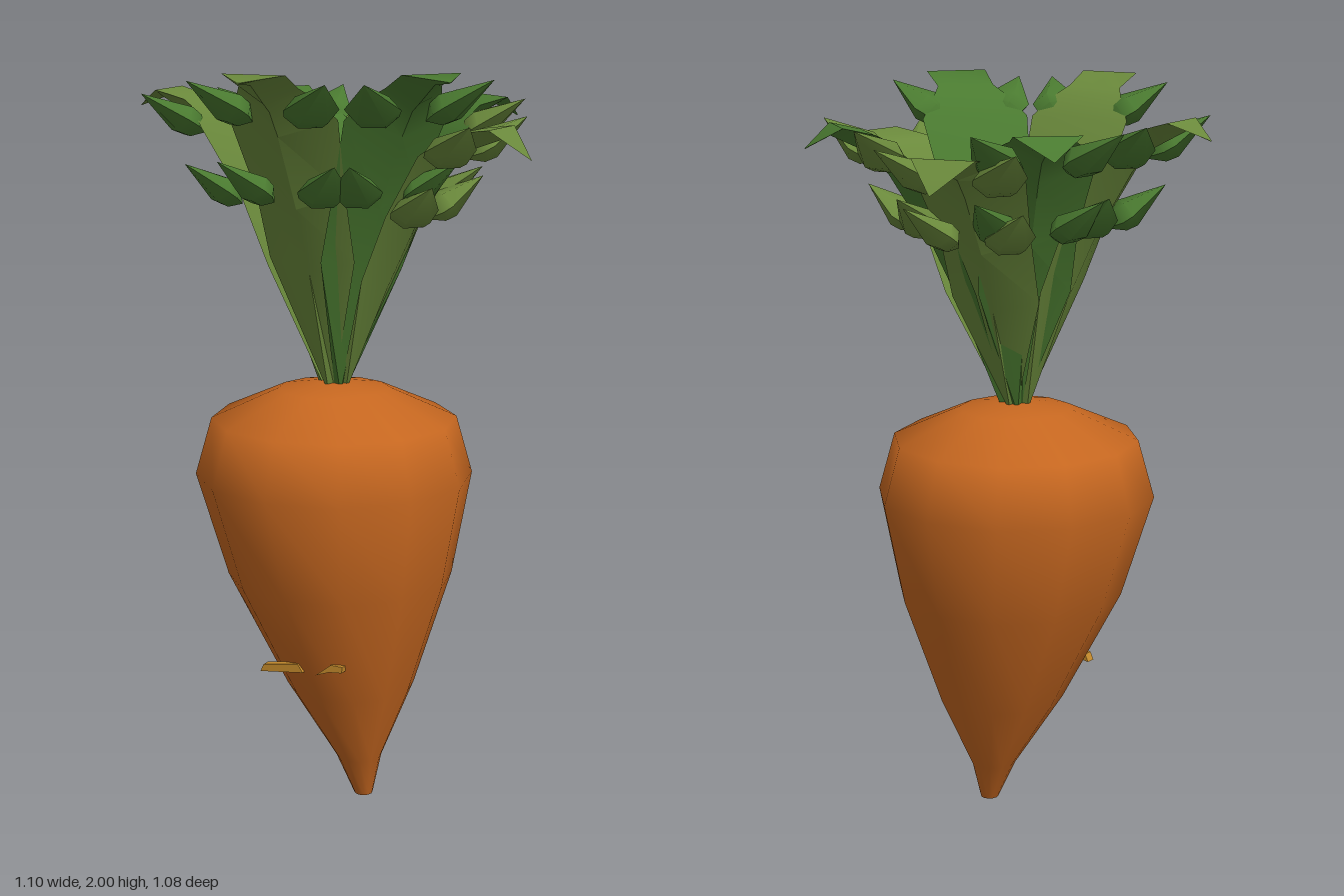
import * as THREE from 'three';
import { mergeVertices, toCreasedNormals } from 'three/addons/utils/BufferGeometryUtils.js';

const mat = (color) => new THREE.MeshStandardMaterial({ color, roughness: 0.9 });
const ORANGE = mat(0xc66720);
const SCAR = mat(0xc48a2c);
const LIGHT = mat(0x6b8a3c);
const DARK = mat(0x4a7a30);

// Sideways lean of the root towards its tip
const lean = (y) => 0.093 * Math.pow(Math.max(0, 1 - y / 0.9), 1.3);

function mesh(name, geometry, material) {
  const m = new THREE.Mesh(geometry, material);
  m.name = name;
  return m;
}

// Tapered body: a 12-sided lathe bent at the lower end
function rootGeometry() {
  const profile = [[0, 0], [0.025, 0], [0.062, 0.11], [0.174, 0.32], [0.305, 0.63],
    [0.374, 0.91], [0.33, 1.065], [0.15, 1.145], [0, 1.17]];
  let g = new THREE.LatheGeometry(profile.map(([r, y]) => new THREE.Vector2(r, y)), 12);
  const p = g.attributes.position;
  for (let i = 0; i < p.count; i++) p.setX(i, p.getX(i) + lean(p.getY(i)));
  g.deleteAttribute('uv');
  g.deleteAttribute('normal');
  g = mergeVertices(g, 1e-4);
  g.computeVertexNormals();
  return g;
}

// Leaf centre line (distance out, height), blended between a drooping and an upright leaf
const OUT = [0.025, 0.14, 0.21, 0.31, 0.36, 0.39, 0.47, 0.55];
const HALF_WIDTH = [0.012, 0.12, 0.125, 0.15, 0.1, 0.08, 0.085, 0.004];
const DEPTH = [0.015, 0.03, 0.04, 0.045, 0.04, 0.04, 0.025, 0.003];
const LOW = [1.15, 1.46, 1.63, 1.79, 1.835, 1.845, 1.855, 1.78];
const HIGH = [1.15, 1.51, 1.69, 1.885, 1.945, 1.965, 2.0, 1.985];
const heights = (lift) => LOW.map((y, i) => THREE.MathUtils.lerp(y, HIGH[i], lift));

// Flat-topped leaf with a keel underneath, growing along +x
function leafGeometry(ys) {
  const pos = [], idx = [];
  OUT.forEach((x, i) => {
    const w = HALF_WIDTH[i];
    pos.push(x, ys[i], -w, x, ys[i], 0, x, ys[i], w, x + DEPTH[i] * 0.6, ys[i] - DEPTH[i], 0);
    if (i === 0) return;
    for (let j = 0; j < 4; j++) {
      const a = (i - 1) * 4 + j, b = (i - 1) * 4 + (j + 1) % 4;
      idx.push(a, b, a + 4, b, b + 4, a + 4);
    }
  });
  const n = (OUT.length - 1) * 4;
  idx.push(0, 2, 1, 0, 3, 2, n, n + 1, n + 2, n, n + 2, n + 3);
  const g = new THREE.BufferGeometry();
  g.setAttribute('position', new THREE.Float32BufferAttribute(pos, 3));
  g.setIndex(idx);
  return toCreasedNormals(g, 0.6);
}

// Pointed leaflet: a flattened six-sided teardrop of unit length
const leafletGeometry = toCreasedNormals(new THREE.LatheGeometry(
  [[0, 0], [0.3, 0.2], [0.35, 0.36], [0, 1]].map(([r, y]) => new THREE.Vector2(r, y)), 6)
  .rotateY(Math.PI / 6).scale(1, 1, 0.6), 0.9);

function leaflet(name, from, to, material) {
  const a = new THREE.Vector3(...from), along = new THREE.Vector3(...to).sub(a);
  const m = mesh(name, leafletGeometry, material);
  m.position.copy(a);
  m.scale.setScalar(along.length());
  along.normalize();
  const side = along.clone().cross(new THREE.Vector3(0, 1, 0)).normalize();
  m.quaternion.setFromRotationMatrix(
    new THREE.Matrix4().makeBasis(side, along, side.clone().cross(along)));
  return m;
}

function makeLeaf(angle, lift, leafMat, leafletMat) {
  const g = new THREE.Group();
  g.name = 'leaf';
  const ys = heights(lift);
  g.add(mesh('leafBlade', leafGeometry(ys), leafMat));
  for (const s of [-1, 1]) {
    const top = ys[4], mid = ys[2];
    g.add(leaflet('upperLeaflet', [0.335, top - 0.07, s * 0.07], [0.465, top + 0.035, s * 0.185], leafletMat));
    g.add(leaflet('lowerLeaflet', [0.235, mid - 0.025, s * 0.06], [0.355, mid + 0.085, s * 0.16], leafletMat));
  }
  g.rotation.y = -THREE.MathUtils.degToRad(angle);
  return g;
}

// Flat sliver standing against the front of the root
function scarGeometry(outline) {
  const shape = new THREE.Shape(outline.map(([x, y]) => new THREE.Vector2(x, y)));
  return new THREE.ExtrudeGeometry(shape, { depth: 0.026, bevelEnabled: false }).translate(0, 0, 0.19);
}

export function createModel() {
  const model = new THREE.Group();
  model.name = 'carrot';
  model.add(mesh('root', rootGeometry(), ORANGE));
  model.add(mesh('longScar', scarGeometry(
    [[-0.11, 0.391], [0.02, 0.408], [0.005, 0.43], [-0.1, 0.412]]), SCAR));
  model.add(mesh('shortScar', scarGeometry(
    [[0.06, 0.408], [0.1, 0.423], [0.138, 0.427], [0.14, 0.444], [0.105, 0.444]]), SCAR));

  // Crown of leaves: [angle from +x towards +z, lift, blade, leaflets]
  const crown = new THREE.Group();
  crown.name = 'leafCrown';
  for (const leaf of [
    [-1, 0, LIGHT, LIGHT],
    [32, 1, DARK, DARK],
    [86, 1, LIGHT, DARK],
    [172, 0.5, LIGHT, DARK],
    [223, 0.4, DARK, DARK],
    [254, 0, LIGHT, LIGHT],
    [306, 0.35, DARK, LIGHT],
  ]) crown.add(makeLeaf(...leaf));
  model.add(crown);
  return model;
}
